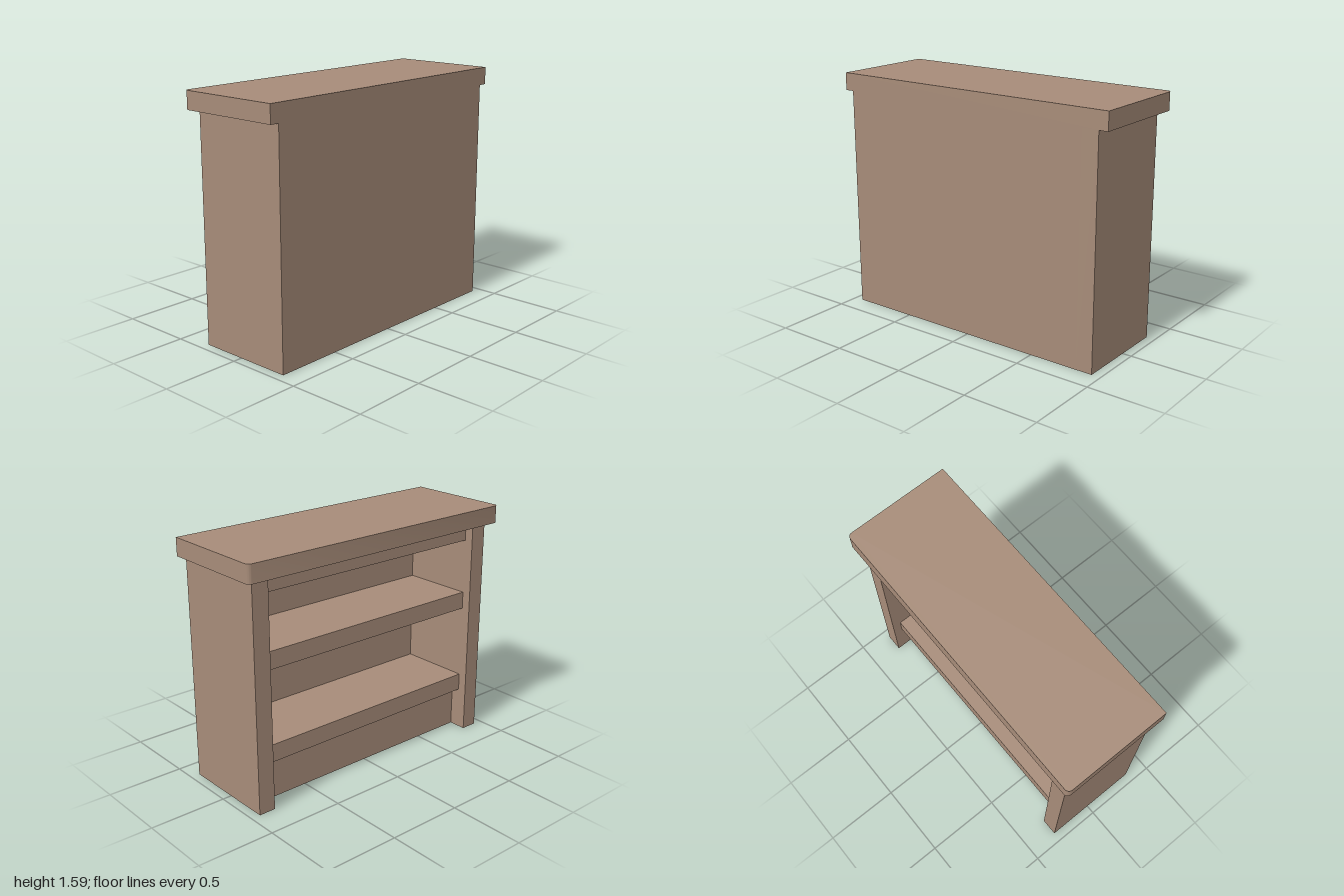
import * as THREE from 'three';
import { toCreasedNormals } from 'three/addons/utils/BufferGeometryUtils.js';

// The open side of the bookcase looks toward -x, its plain back toward +x.
const BACK = 0.357, FRONT = -0.3, SHELF_FRONT = -0.24, PLINTH_FRONT = -0.18;
const BOARD = 0.115, HALF_WIDTH = 0.94, INNER = HALF_WIDTH - 0.112;
const BODY_TOP = 1.47, TOP = 1.585;

export function createModel() {
  const group = new THREE.Group();
  group.name = 'bookcase';
  const wood = new THREE.MeshStandardMaterial({ color: 0xa78c79 });
  wood.name = 'brown wood';

  // Box given by its limits on each axis
  const board = (name, x0, x1, y0, y1, z0, z1) => {
    const mesh = new THREE.Mesh(new THREE.BoxGeometry(x1 - x0, y1 - y0, z1 - z0), wood);
    mesh.position.set((x0 + x1) / 2, (y0 + y1) / 2, (z0 + z1) / 2);
    mesh.name = name;
    group.add(mesh);
  };

  // Side panels
  board('leftSidePanel', FRONT, BACK, 0, BODY_TOP, INNER, HALF_WIDTH);
  board('rightSidePanel', FRONT, BACK, 0, BODY_TOP, -HALF_WIDTH, -INNER);

  // Back panel and recessed plinth
  const backInner = BACK - 0.112;
  board('backPanel', backInner, BACK, 0, BODY_TOP, -INNER, INNER);
  board('plinth', PLINTH_FRONT, backInner, 0, 0.28, -INNER, INNER);

  // Two shelves and the board beneath the top
  [['lowerShelf', 0.28], ['upperShelf', 0.88], ['topRail', BODY_TOP - BOARD]].forEach(([name, y]) =>
    board(name, SHELF_FRONT, backInner, y, y + BOARD, -INNER, INNER));

  // Overhanging top with its two open-side corners rounded
  const r = 0.03;
  const outline = new THREE.Shape();
  outline.moveTo(BACK, -1);
  outline.lineTo(BACK, 1);
  outline.lineTo(-BACK + r, 1);
  outline.absarc(-BACK + r, 1 - r, r, Math.PI / 2, Math.PI, false);
  outline.lineTo(-BACK, -1 + r);
  outline.absarc(-BACK + r, -1 + r, r, Math.PI, Math.PI * 1.5, false);
  outline.closePath();
  const slab = new THREE.ExtrudeGeometry(outline, {
    depth: TOP - BODY_TOP, bevelEnabled: false, curveSegments: 4,
  });
  slab.rotateX(-Math.PI / 2);
  const top = new THREE.Mesh(toCreasedNormals(slab, 0.6), wood);
  top.position.y = BODY_TOP;
  top.name = 'topSlab';
  group.add(top);

  return group;
}
